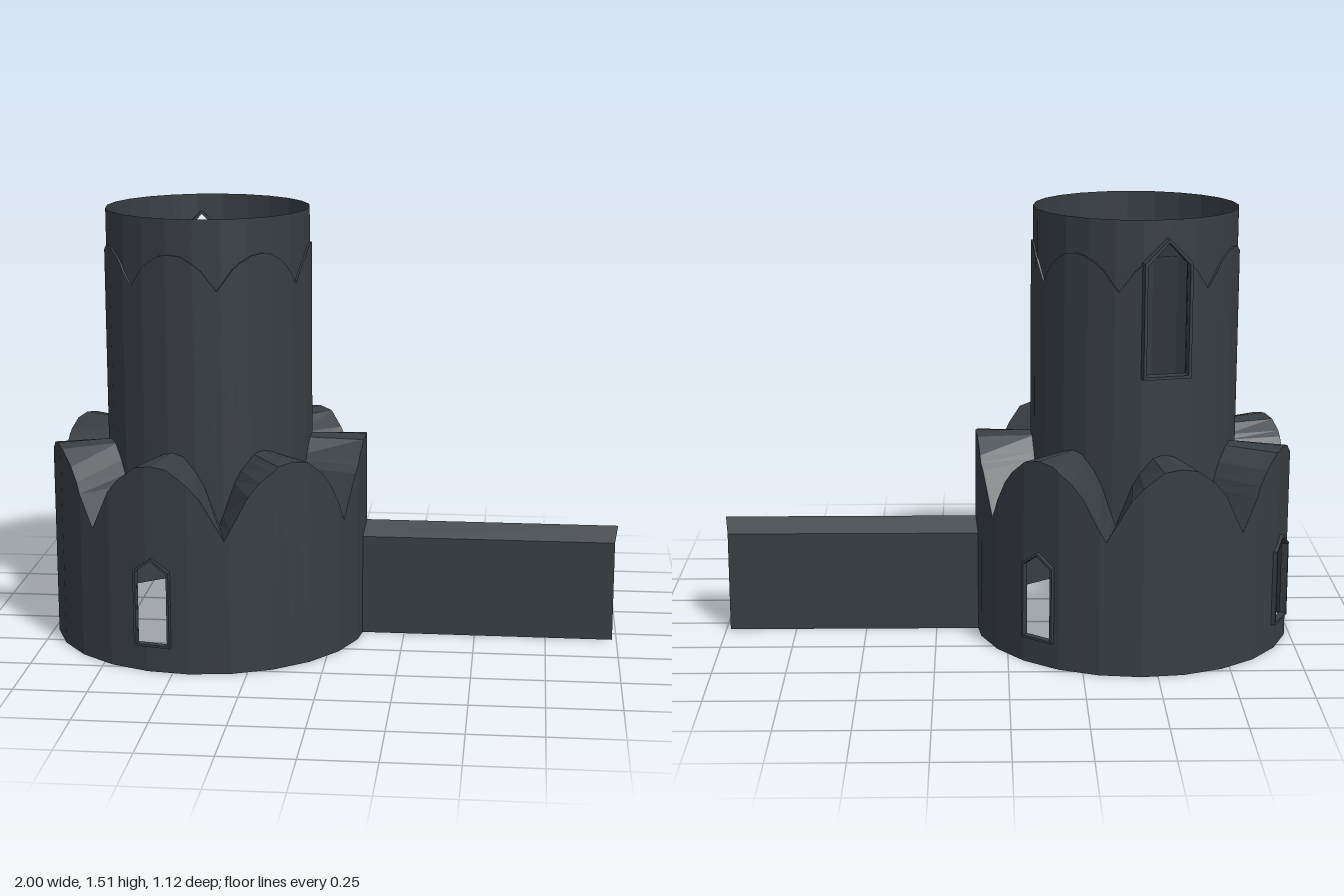
import * as THREE from 'three';

const CX = -0.445, PETALS = 7, SIDES = 24;
const DEG = Math.PI / 180, STEP = 360 / PETALS;

// Pointed-petal outline: [degrees from the tip, share of the petal height]
const PETAL = [[0, 1], [6, 0.96], [13, 0.76], [17.14, 0.58], [STEP / 2, 0]];

function petalHeight(deg, low, high) {
  const d = Math.abs(deg - Math.round(deg / STEP) * STEP);
  let i = 1;
  while (i < PETAL.length - 1 && d > PETAL[i][0]) i++;
  const [a, u] = PETAL[i - 1], [b, v] = PETAL[i];
  return low + (high - low) * (u + (v - u) * (d - a) / (b - a));
}
const baseEdge = (deg) => petalHeight(deg, 0.465, 0.715);
const sheathEdge = (deg) => petalHeight(deg, 1.27, 1.39);

// Point on a many-sided tower wall
function onWall(r, deg, y) {
  const s = 360 / SIDES, m = ((deg % s) + s) % s;
  const k = r * Math.cos(s / 2 * DEG) / Math.cos((m - s / 2) * DEG);
  return [CX + k * Math.cos(deg * DEG), y, k * Math.sin(deg * DEG)];
}

const quad = (out, a, b, c, d) => out.push(...a, ...b, ...c, ...a, ...c, ...d);

function toGeometry(positions) {
  const g = new THREE.BufferGeometry();
  g.setAttribute('position', new THREE.Float32BufferAttribute(positions, 3));
  g.computeVertexNormals();
  return g;
}

// Angles at which walls bend: sides, petal points and window edges
function wallAngles(r, windows) {
  const list = [];
  for (let i = 0; i <= SIDES; i++) list.push(i * 360 / SIDES);
  for (let p = 0; p <= PETALS; p++)
    for (const [d] of PETAL) list.push(p * STEP + d, p * STEP - d);
  for (const w of windows) {
    const h = Math.asin(w.half / r) / DEG;
    list.push(w.deg - h, w.deg, w.deg + h);
  }
  return list.filter((a) => a >= 0 && a <= 360).sort((a, b) => a - b)
    .filter((a, i, l) => i === 0 || a - l[i - 1] > 1e-4);
}

// Upright wall with arched window openings
function wall(r, bottom, top, windows) {
  const out = [], angles = wallAngles(r, windows);
  const strip = (a, b, lo, hi) => {
    const y = [lo(a), lo(b), Math.max(lo(a), hi(a)), Math.max(lo(b), hi(b))];
    if (y[2] - y[0] + y[3] - y[1] < 1e-5) return;
    quad(out, onWall(r, a, y[0]), onWall(r, a, y[2]), onWall(r, b, y[3]), onWall(r, b, y[1]));
  };
  for (let i = 0; i < angles.length - 1; i++) {
    const a = angles[i], b = angles[i + 1], mid = (a + b) / 2;
    const w = windows.find((v) => Math.abs(mid - v.deg) < Math.asin(v.half / r) / DEG);
    if (!w) { strip(a, b, bottom, top); continue; }
    const arch = (d) => w.peak - (w.peak - w.shoulder) * r * Math.abs(Math.sin((d - w.deg) * DEG)) / w.half;
    strip(a, b, bottom, () => w.sill);
    strip(a, b, arch, top);
  }
  return toGeometry(out);
}

// Ledge following the petals from the outer radius to the inner one
function ledge(rOut, rIn, edge) {
  const out = [], angles = wallAngles(rOut, []);
  for (let i = 0; i < angles.length - 1; i++) {
    const a = angles[i], b = angles[i + 1];
    quad(out, onWall(rOut, a, edge(a)), onWall(rIn, a, edge(a)),
      onWall(rIn, b, edge(b)), onWall(rOut, b, edge(b)));
  }
  return toGeometry(out);
}

function archPath(path, half, sill, shoulder, peak) {
  path.moveTo(-half, sill);
  path.lineTo(half, sill);
  path.lineTo(half, shoulder);
  path.lineTo(0, peak);
  path.lineTo(-half, shoulder);
  path.closePath();
  return path;
}

export function createModel() {
  const stone = new THREE.MeshStandardMaterial({ color: 0x373d43 });
  stone.name = 'dark slate stone';
  stone.flatShading = true;
  stone.side = THREE.DoubleSide;

  const model = new THREE.Group();
  model.name = 'tower';
  const add = (name, geometry) => {
    const mesh = new THREE.Mesh(geometry, stone);
    mesh.name = name;
    model.add(mesh);
    return mesh;
  };

  const lowWindows = [2, 4, 6].map((p) => ({
    deg: p * STEP, half: 0.056, sill: 0.098, shoulder: 0.35, peak: 0.39,
  }));
  const highWindow = { deg: 5 * STEP, half: 0.073, sill: 0.99, shoulder: 1.362, peak: 1.438 };

  // Wide base with petal-shaped crown
  add('baseWall', wall(0.555, () => 0, baseEdge, lowWindows));
  add('baseCrown', ledge(0.555, 0.353, baseEdge));

  // Narrow upper tower and its petal-edged outer layer
  add('upperTower', wall(0.354, baseEdge, () => 1.51, [highWindow]));
  add('towerSheath', wall(0.361, baseEdge, sheathEdge, [highWindow]));
  add('sheathEdge', ledge(0.361, 0.353, sheathEdge));

  // Window frames
  const frame = (name, w, t, rIn, rOut) => {
    const shape = archPath(new THREE.Shape(), w.half + t, w.sill - t, w.shoulder + t * 0.7, w.peak + t * 1.2);
    shape.holes.push(archPath(new THREE.Path(), w.half, w.sill, w.shoulder, w.peak));
    const mesh = add(name, new THREE.ExtrudeGeometry(shape, { depth: rOut - rIn, bevelEnabled: false }));
    const a = w.deg * DEG;
    mesh.position.set(CX + rIn * Math.cos(a), 0, rIn * Math.sin(a));
    mesh.rotation.y = Math.PI / 2 - a;
  };
  lowWindows.forEach((w, i) => frame('baseWindowFrame' + (i + 1), w, 0.008, 0.54, 0.564));
  frame('upperWindowFrame', highWindow, 0.01, 0.34, 0.382);

  // Hollow side wall with a ridged cap, open at its end and underneath
  const section = [[0.065, 0, 0.985], [0.065, 0.355, 0.985], [0, 0.4, 0.997], [-0.065, 0.355, 0.985], [-0.065, 0, 0.985]];
  const side = [];
  for (let i = 0; i < section.length - 1; i++) {
    const [z0, y0, x0] = section[i], [z1, y1, x1] = section[i + 1];
    quad(side, [0.1, y0, z0], [x0, y0, z0], [x1, y1, z1], [0.1, y1, z1]);
  }
  add('sideWall', toGeometry(side));

  return model;
}
